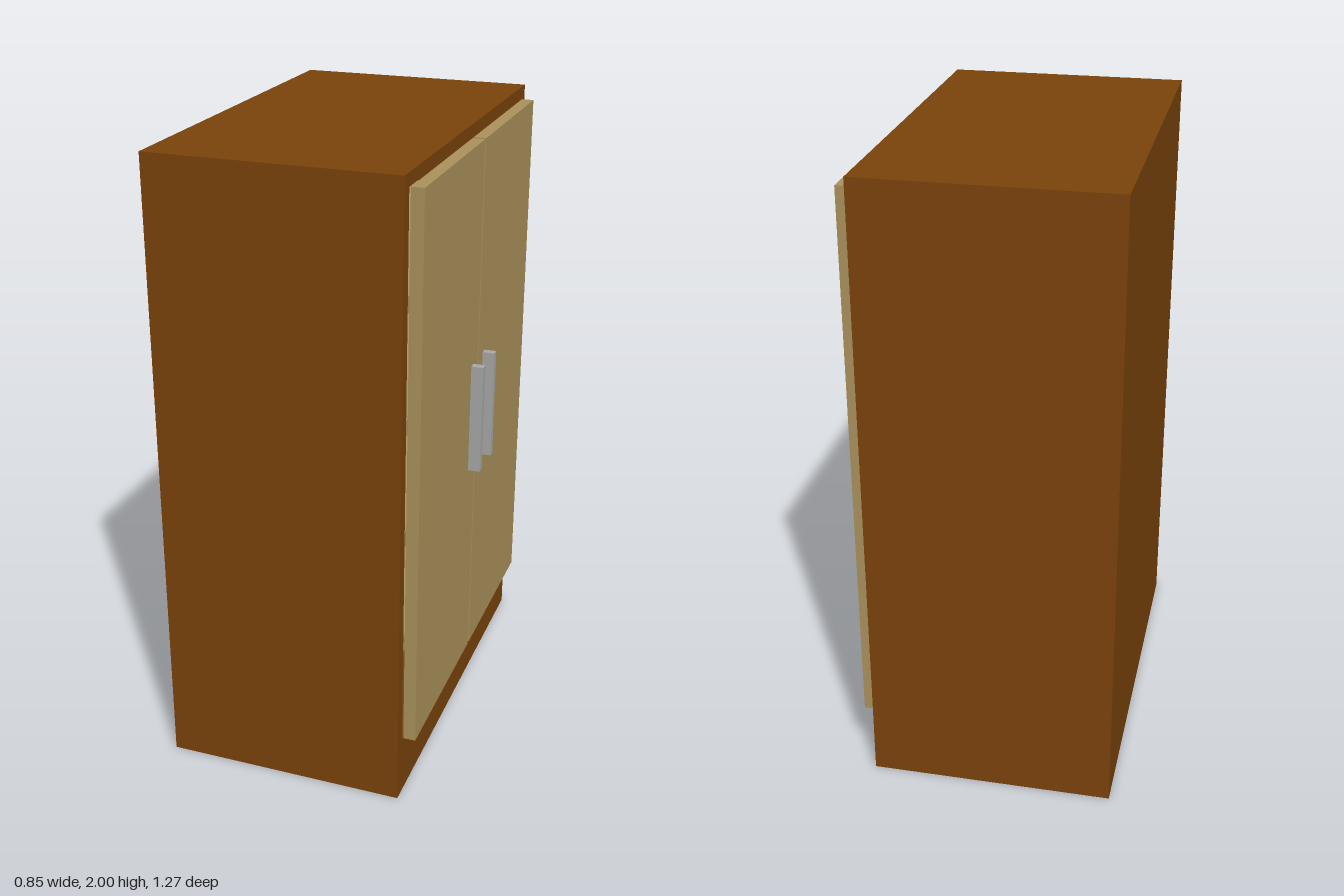
import * as THREE from 'three';

export function createModel() {
  const model = new THREE.Group();
  model.name = 'wardrobe';

  const material = (name, color) => {
    const m = new THREE.MeshStandardMaterial({ color });
    m.name = name;
    return m;
  };
  const brown = material('brown wood', 0x7b430b);
  const tan = material('tan wood', 0xab925c);
  const grey = material('grey metal', 0xa9a9a9);

  // Box given by its extents along each axis
  const box = (name, mat, [x0, x1], [y0, y1], [z0, z1]) => {
    const mesh = new THREE.Mesh(new THREE.BoxGeometry(x1 - x0, y1 - y0, z1 - z0), mat);
    mesh.position.set((x0 + x1) / 2, (y0 + y1) / 2, (z0 + z1) / 2);
    mesh.name = name;
    model.add(mesh);
  };
  // Extents on one side of the centre plane
  const side = (s, a, b) => (s > 0 ? [a, b] : [-b, -a]);

  const back = -0.427, front = 0.346, depth = 0.637, inner = 0.597;

  // Hollow carcass
  box('plinth', brown, [back, front], [0, 0.197], [-depth, depth]);
  box('topPanel', brown, [back, front], [1.96, 2], [-depth, depth]);
  box('backPanel', brown, [back, back + 0.04], [0.197, 1.96], [-inner, inner]);

  // Shelves behind the doors
  for (const y of [0.51, 0.87, 1.23, 1.6]) {
    box('shelf', tan, [back + 0.04, front - 0.005], [y, y + 0.05], [-inner, inner]);
  }

  // Mirrored side panels, doors and handles
  for (const s of [1, -1]) {
    box('sidePanel', brown, [back, front], [0.197, 1.96], side(s, inner, depth));
    box('door', tan, [0.349, 0.388], [0.2, 1.96], side(s, 0.006, 0.593));
    box('handle', grey, [0.388, 0.427], [0.9, 1.26], side(s, 0.053, 0.077));
  }

  return model;
}
